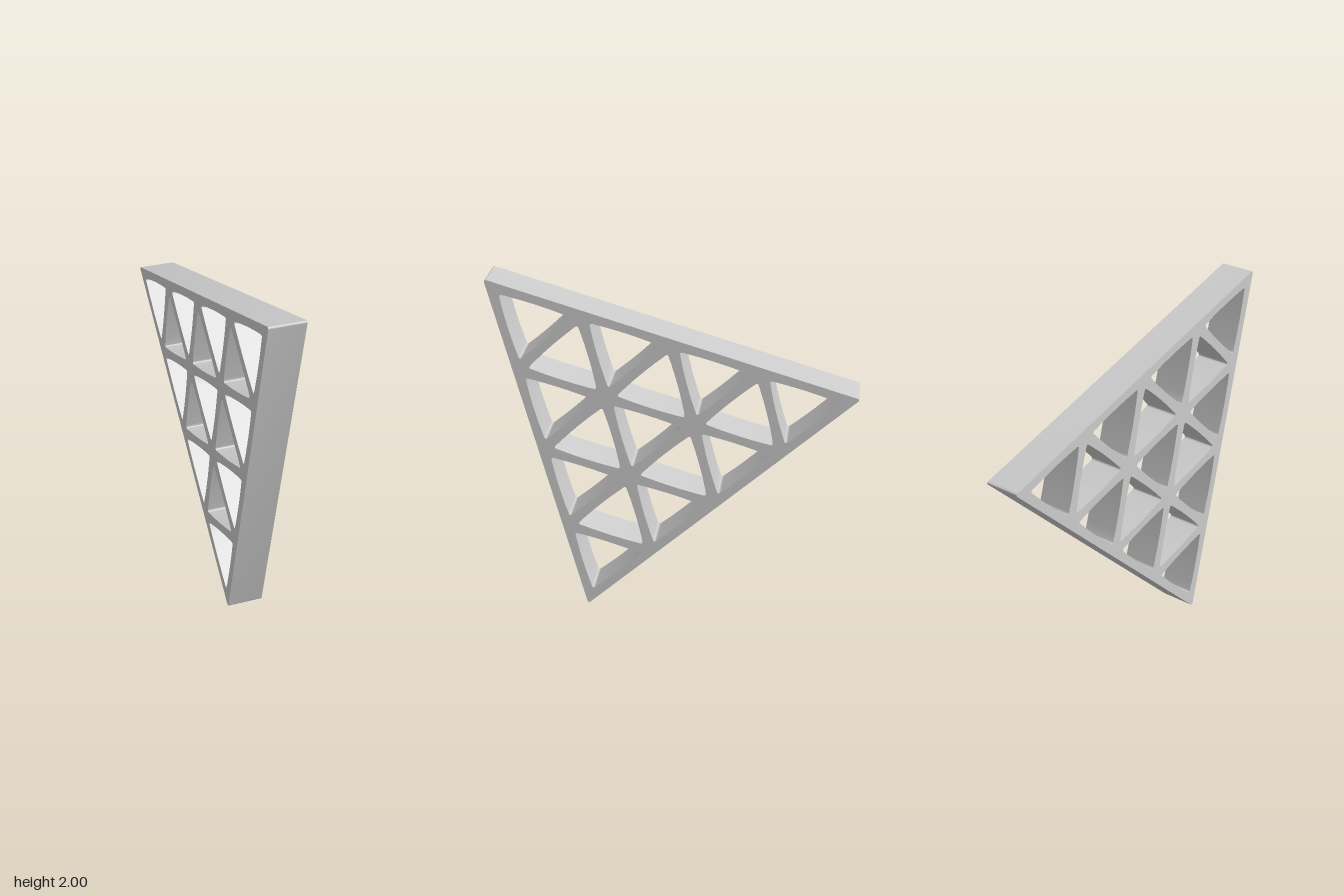
import * as THREE from 'three';
import { toCreasedNormals } from 'three/addons/utils/BufferGeometryUtils.js';

const V = (x, y) => new THREE.Vector2(x, y);
const ROWS = 4;        // lattice subdivisions per side
const THICK = 0.2;     // plate thickness

// Triangle path with rounded corners and gently bulged sides
function roundedTriangle(path, corners, cut, bulge) {
  const centre = corners[0].clone().add(corners[1]).add(corners[2]).divideScalar(3);
  corners.forEach((p, i) => {
    const prev = corners[(i + 2) % 3], next = corners[(i + 1) % 3];
    const start = p.clone().add(prev.clone().sub(p).setLength(cut));
    const end = p.clone().add(next.clone().sub(p).setLength(cut));
    const nextStart = next.clone().add(p.clone().sub(next).setLength(cut));
    if (i === 0) path.moveTo(start.x, start.y);
    path.quadraticCurveTo(p.x, p.y, end.x, end.y);
    if (bulge) {
      const mid = end.clone().add(nextStart).multiplyScalar(0.5);
      mid.add(mid.clone().sub(centre).setLength(bulge * 2));
      path.quadraticCurveTo(mid.x, mid.y, nextStart.x, nextStart.y);
    } else path.lineTo(nextStart.x, nextStart.y);
  });
  path.closePath();
  return path;
}

export function createModel() {
  const group = new THREE.Group();
  group.name = 'triangularTruss';

  // Outer frame, drawn in the side plane (shape x = -z)
  const A = V(-1.004, 2.004), B = V(1.008, 1.431), C = V(-0.497, -0.01);
  const frame = roundedTriangle(new THREE.Shape(), [C, B, A], 0.022, 0);

  // Lattice nodes, drawn slightly inside the frame
  const centre = A.clone().add(B).add(C).divideScalar(3);
  const node = (i, j) => A.clone()
    .addScaledVector(B.clone().sub(A), i / ROWS)
    .addScaledVector(C.clone().sub(A), j / ROWS)
    .sub(centre).multiplyScalar(0.96).add(centre);

  // One triangular window between three nodes
  const addWindow = (...nodes) => {
    const mid = nodes[0].clone().add(nodes[1]).add(nodes[2]).divideScalar(3);
    const corners = nodes.map(n => n.clone().add(mid.clone().sub(n).setLength(0.062)));
    frame.holes.push(roundedTriangle(new THREE.Path(), corners, 0.022, 0.006));
  };
  for (let i = 0; i < ROWS; i++) {
    for (let j = 0; i + j < ROWS; j++) {
      addWindow(node(i, j), node(i + 1, j), node(i, j + 1));
      if (i + j < ROWS - 1) addWindow(node(i + 1, j), node(i + 1, j + 1), node(i, j + 1));
    }
  }

  // Extrude across the thickness and turn into the side plane
  const geometry = new THREE.ExtrudeGeometry(frame, { depth: THICK, bevelEnabled: false, curveSegments: 8 });
  geometry.translate(0, 0, -THICK / 2);
  geometry.rotateY(Math.PI / 2);
  const mesh = new THREE.Mesh(toCreasedNormals(geometry, 0.5), new THREE.MeshStandardMaterial({ color: 0xcccccc }));
  mesh.name = 'latticePlate';
  group.add(mesh);
  return group;
}
